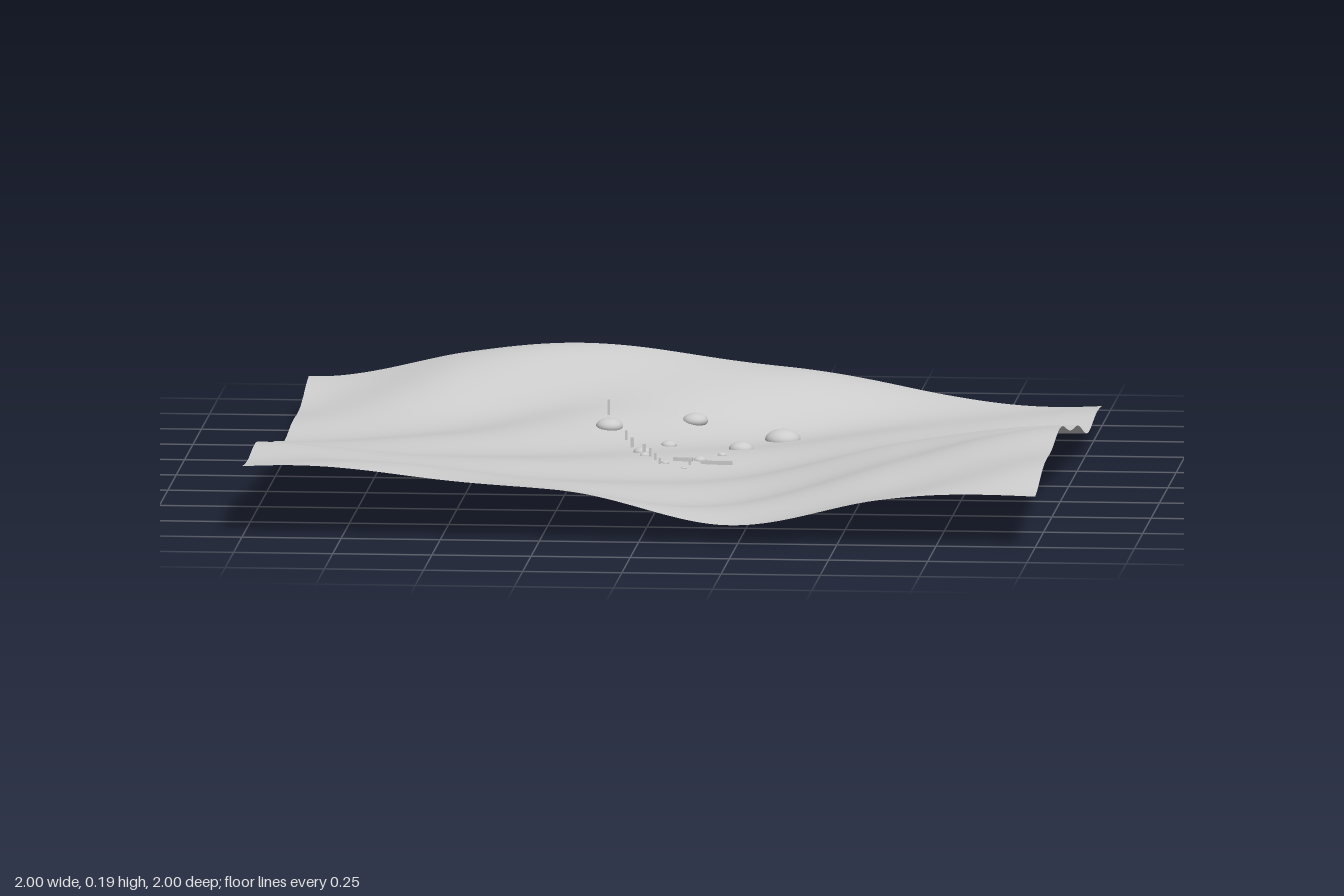
import * as THREE from 'three';

// Broad swell heights: rows from z = -1 to 1, columns from x = -1 to 1
const SWELL = [
  [0.088, 0.168, 0.178, 0.140, 0.065, 0.048],
  [0.050, 0.062, 0.085, 0.038, 0.043, 0.048],
  [0.055, 0.055, 0.042, 0.025, 0.075, 0.112],
  [0.105, 0.080, 0.048, 0.030, 0.113, 0.172],
  [0.165, 0.125, 0.070, 0.040, 0.113, 0.170],
  [0.172, 0.163, 0.120, 0.048, 0.103, 0.131],
];

// Smooth interpolation through evenly spaced values, levelling off at the ends
function smooth(values, t) {
  const n = values.length - 1;
  const i = Math.min(Math.floor(t * n), n - 1);
  const f = t * n - i;
  const b = values[i], c = values[i + 1];
  const a = i > 0 ? values[i - 1] : c;
  const d = i < n - 1 ? values[i + 2] : b;
  return b + 0.5 * f * (c - a + f * (2 * a - 5 * b + 4 * c - d + f * (3 * (b - c) + d - a)));
}

// Swell plus fine diagonal ripples
function sheetHeight(x, z) {
  const swell = smooth(SWELL.map((row) => smooth(row, (x + 1) / 2)), (z + 1) / 2);
  return swell - 0.008 * Math.sin(14.3 * (0.57 * x + 0.82 * z));
}

export function createModel() {
  const model = new THREE.Group();
  const grey = new THREE.MeshStandardMaterial({ color: 0xcccccc, side: THREE.DoubleSide });
  grey.name = 'pale grey';

  function add(name, geometry, x = 0, y = 0, z = 0) {
    const mesh = new THREE.Mesh(geometry, grey);
    mesh.name = name;
    mesh.position.set(x, y, z);
    model.add(mesh);
    return mesh;
  }

  // Wavy open sheet
  const sheet = new THREE.PlaneGeometry(2, 2, 100, 100).rotateX(-Math.PI / 2);
  const pos = sheet.attributes.position;
  for (let i = 0; i < pos.count; i++) {
    pos.setY(i, sheetHeight(pos.getX(i), pos.getZ(i)));
  }
  sheet.computeVertexNormals();
  add('wavySheet', sheet);

  // Flattened pebbles half sunk in the sheet: x, z, radius
  const pebbles = [
    [0.235, -0.53, 0.045],
    [-0.195, -0.44, 0.034],
    [0.01, -0.577, 0.032],
    [0.147, -0.325, 0.031],
    [-0.092, -0.208, 0.023],
    [-0.037, -0.35, 0.02],
    [0.06, -0.123, 0.017],
    [-0.08, -0.137, 0.013],
    [0.11, -0.2, 0.012],
    [-0.022, -0.052, 0.01],
    [0.028, -0.02, 0.007],
  ];
  for (const [x, z, r] of pebbles) {
    add('pebble', new THREE.SphereGeometry(r, 24, 16), x, sheetHeight(x, z), z).scale.y = 0.6;
  }

  // Thin upright pegs: x, z, height
  const pegs = [
    [-0.203, -0.52, 0.04], [-0.145, -0.355, 0.025], [-0.125, -0.287, 0.025],
    [-0.085, -0.17, 0.025], [-0.065, -0.12, 0.022], [-0.048, -0.07, 0.018],
    [-0.033, -0.03, 0.016], [0.04, -0.06, 0.016],
  ];
  for (const [x, z, h] of pegs) {
    add('peg', new THREE.BoxGeometry(0.006, h, 0.006), x, sheetHeight(x, z) + h / 2, z);
  }

  // Two thin bars lying in line
  for (const [from, to] of [[-0.005, 0.045], [0.065, 0.145]]) {
    const x = (from + to) / 2;
    add('bar', new THREE.BoxGeometry(to - from, 0.01, 0.006), x, sheetHeight(x, -0.088) + 0.006, -0.088);
  }

  return model;
}
